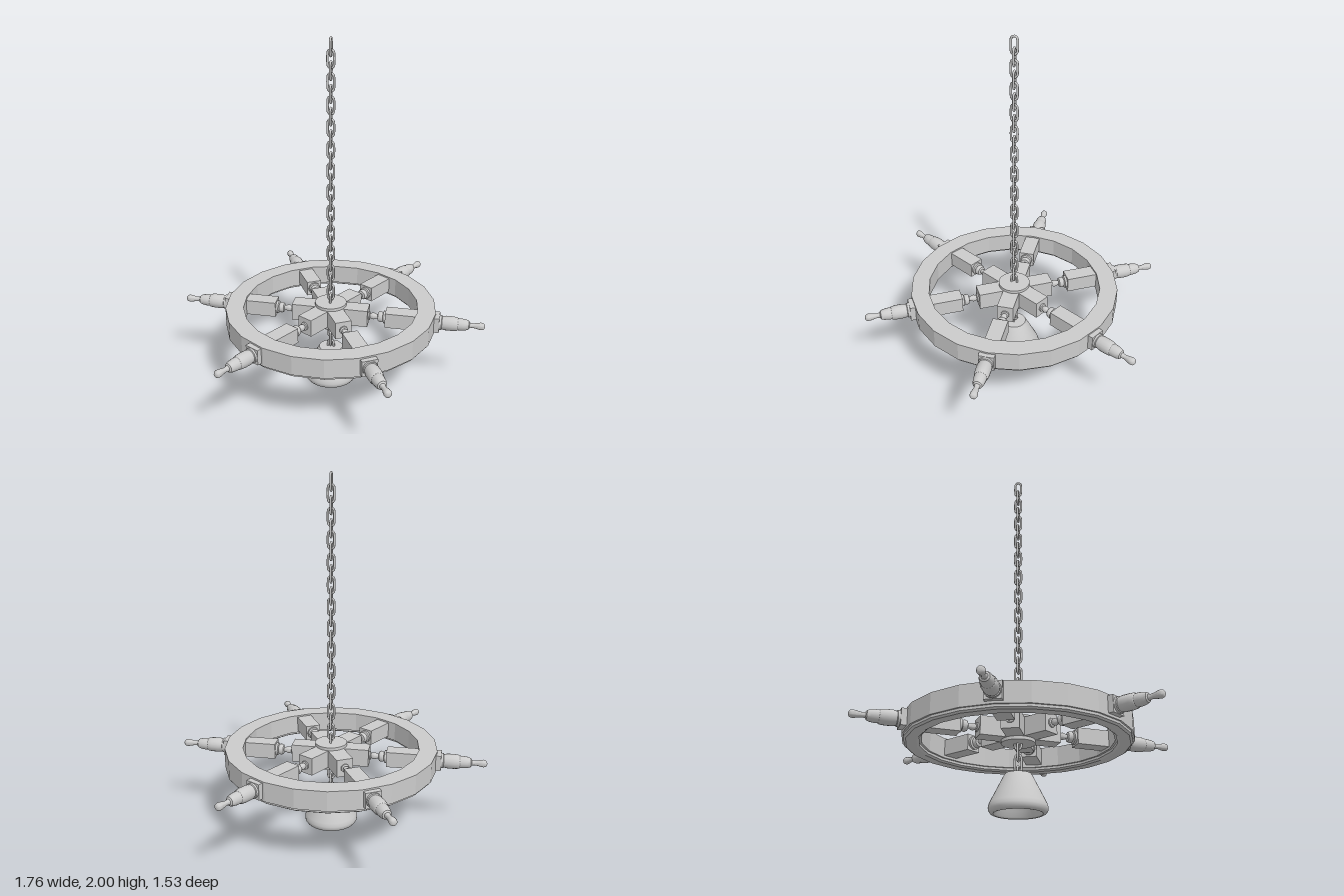
import * as THREE from 'three';
import { toCreasedNormals } from 'three/addons/utils/BufferGeometryUtils.js';

const material = new THREE.MeshStandardMaterial({ color: 0xcccccc });
const flat = new THREE.MeshStandardMaterial({ color: 0xcccccc, flatShading: true });

const WHEEL_Y = 0.43;
const SPOKES = 6;

function part(name, geometry, mat = material) {
  const mesh = new THREE.Mesh(geometry, mat);
  mesh.name = name;
  return mesh;
}

function turned(points, segments) {
  const profile = points.map(([r, y]) => new THREE.Vector2(r, y));
  return toCreasedNormals(new THREE.LatheGeometry(profile, segments), 0.7);
}

// Square beam running outward along +x
function beam(from, to, height, width) {
  return new THREE.BoxGeometry(to - from, height, width).translate((from + to) / 2, 0, 0);
}

// Stadium-shaped chain link standing in the xy plane
function linkGeometry(length, width, wire) {
  const r = width / 2 - wire;
  const h = length / 2 - wire - r;
  const points = [];
  for (let i = 0; i <= 6; i++) {
    const a = (i / 6) * Math.PI;
    points.push(new THREE.Vector3(r * Math.cos(a), h + r * Math.sin(a), 0));
  }
  for (let i = 0; i <= 6; i++) {
    const a = Math.PI + (i / 6) * Math.PI;
    points.push(new THREE.Vector3(r * Math.cos(a), -h + r * Math.sin(a), 0));
  }
  const path = new THREE.CatmullRomCurve3(points, true);
  return new THREE.TubeGeometry(path, 28, wire, 8, true);
}

function createSpoke() {
  const spoke = new THREE.Group();
  spoke.name = 'spoke';
  spoke.add(part('spokeInnerBlock', beam(0, 0.22, 0.1, 0.094)));
  spoke.add(part('spokeOuterBlock', beam(0.32, 0.625, 0.088, 0.088)));

  // Slim turned spindle joining the two blocks
  const spindle = turned([
    [0.024, 0.215], [0.024, 0.228], [0.014, 0.231], [0.019, 0.243], [0.019, 0.252],
    [0.013, 0.268], [0.013, 0.273], [0.026, 0.277], [0.031, 0.288], [0.03, 0.299],
    [0.025, 0.304], [0.036, 0.308], [0.036, 0.322],
  ], 16).rotateZ(-Math.PI / 2);
  spoke.add(part('spindle', spindle));

  // Turned grip outside the rim
  const handle = turned([
    [0.042, 0.62], [0.042, 0.637], [0.037, 0.64], [0.041, 0.66], [0.041, 0.7],
    [0.038, 0.724], [0.034, 0.728], [0.034, 0.745], [0.031, 0.77], [0.025, 0.788],
    [0.016, 0.793], [0.013, 0.805], [0.014, 0.82], [0.019, 0.842], [0.021, 0.857],
    [0.018, 0.869], [0.01, 0.876], [0, 0.878],
  ], 16).rotateZ(-Math.PI / 2);
  spoke.add(part('handle', handle));
  return spoke;
}

function createWheel() {
  const wheel = new THREE.Group();
  wheel.name = 'wheel';

  // Faceted rim with a narrower bevelled lip underneath
  const rim = new THREE.LatheGeometry([
    [0.525, 0.352], [0.58, 0.352], [0.592, 0.36], [0.592, 0.373], [0.602, 0.373],
    [0.602, 0.483], [0.5, 0.483], [0.5, 0.373], [0.512, 0.373], [0.512, 0.36], [0.525, 0.352],
  ].map(([r, y]) => new THREE.Vector2(r, y)), 22).rotateY(Math.PI / 2);
  wheel.add(part('rim', rim, flat));

  // Hub plates above and below the spokes
  const hub = part('hub', toCreasedNormals(new THREE.CylinderGeometry(0.09, 0.09, 0.134, 32), 0.7));
  hub.position.y = WHEEL_Y;
  wheel.add(hub);

  for (let i = 0; i < SPOKES; i++) {
    const spoke = createSpoke();
    spoke.position.y = WHEEL_Y;
    spoke.rotation.y = (i / SPOKES) * Math.PI * 2;
    wheel.add(spoke);
  }
  return wheel;
}

function createChain() {
  const chain = new THREE.Group();
  chain.name = 'chain';
  const geometry = linkGeometry(0.106, 0.046, 0.0065);
  for (let i = 0; i < 30; i++) {
    const link = part('chainLink', geometry);
    link.position.y = 1.947 - i * 0.0603;
    link.rotation.y = i % 2 ? 0 : Math.PI / 2;
    chain.add(link);
  }
  return chain;
}

// Hollow shade, from the inner ceiling around the rounded lip to the top
function createShade() {
  return part('lampShade', turned([
    [0, 0.14], [0.06, 0.14], [0.112, 0.04], [0.118, 0.012], [0.125, 0.003], [0.132, 0.002],
    [0.143, 0.008], [0.151, 0.02], [0.152, 0.035], [0.146, 0.055], [0.074, 0.195],
    [0.068, 0.205], [0, 0.205],
  ], 40));
}

export function createModel() {
  const model = new THREE.Group();
  model.name = 'wheelChandelier';
  model.add(createWheel(), createChain(), createShade());
  return model;
}
